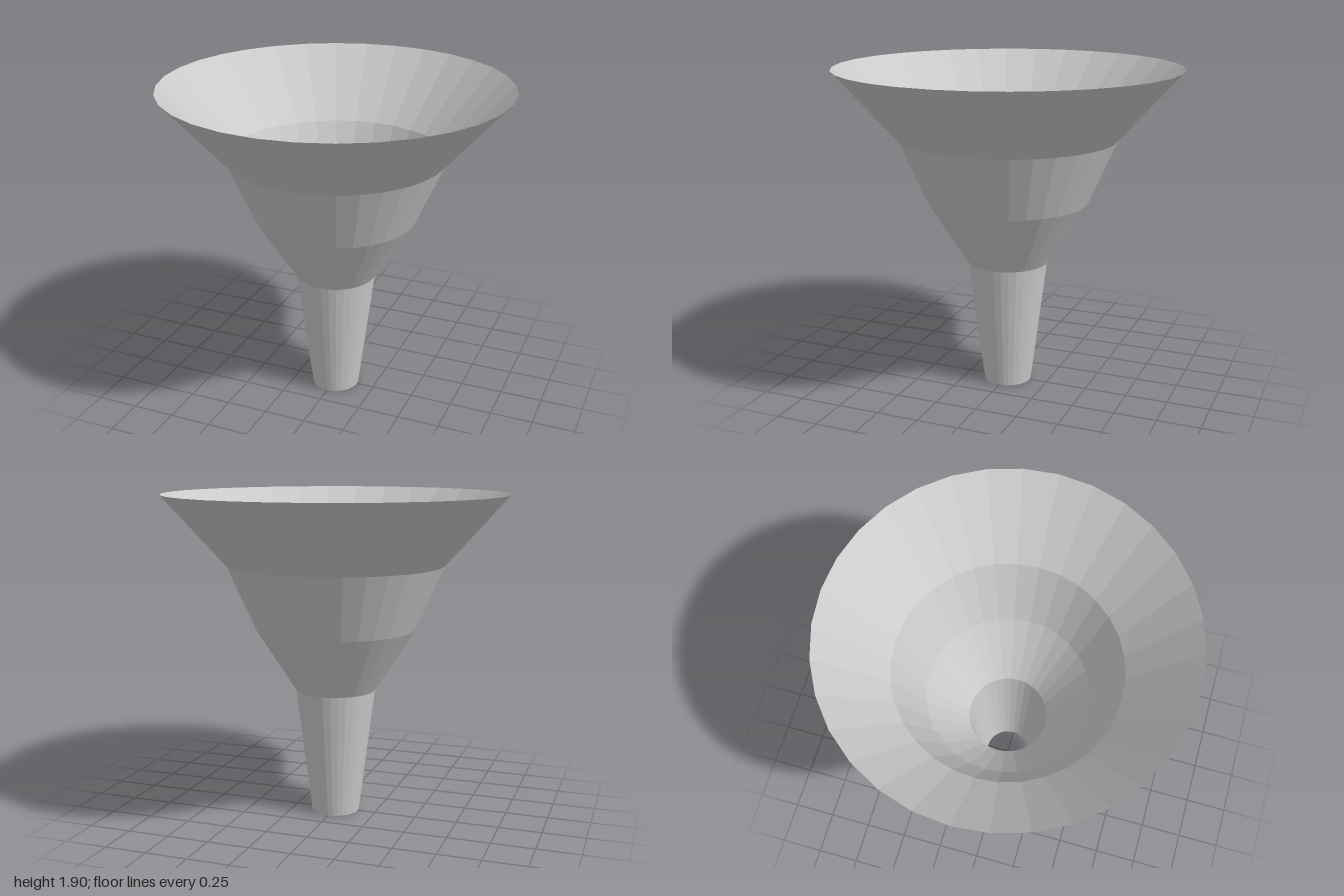
import * as THREE from 'three';

const SIDES = 32;

// Thin open shell turned from [radius, height] points, bottom to top
function shell(name, profile, material) {
  const points = profile.map(([r, y]) => new THREE.Vector2(r, y));
  const mesh = new THREE.Mesh(new THREE.LatheGeometry(points, SIDES), material);
  mesh.name = name;
  return mesh;
}

export function createModel() {
  const group = new THREE.Group();
  group.name = 'funnel';
  const material = new THREE.MeshStandardMaterial({
    color: 0xcccccc, flatShading: true, side: THREE.DoubleSide,
  });

  // Tapered tube, open at the bottom
  group.add(shell('spout', [[0.142, 0], [0.236, 0.751]], material));

  // Bowl widening in two steps
  group.add(shell('bowl', [[0.236, 0.751], [0.472, 1.123], [0.638, 1.498]], material));

  // Wide flared mouth, open at the top
  group.add(shell('flaredMouth', [[0.638, 1.498], [1, 1.903]], material));

  return group;
}
